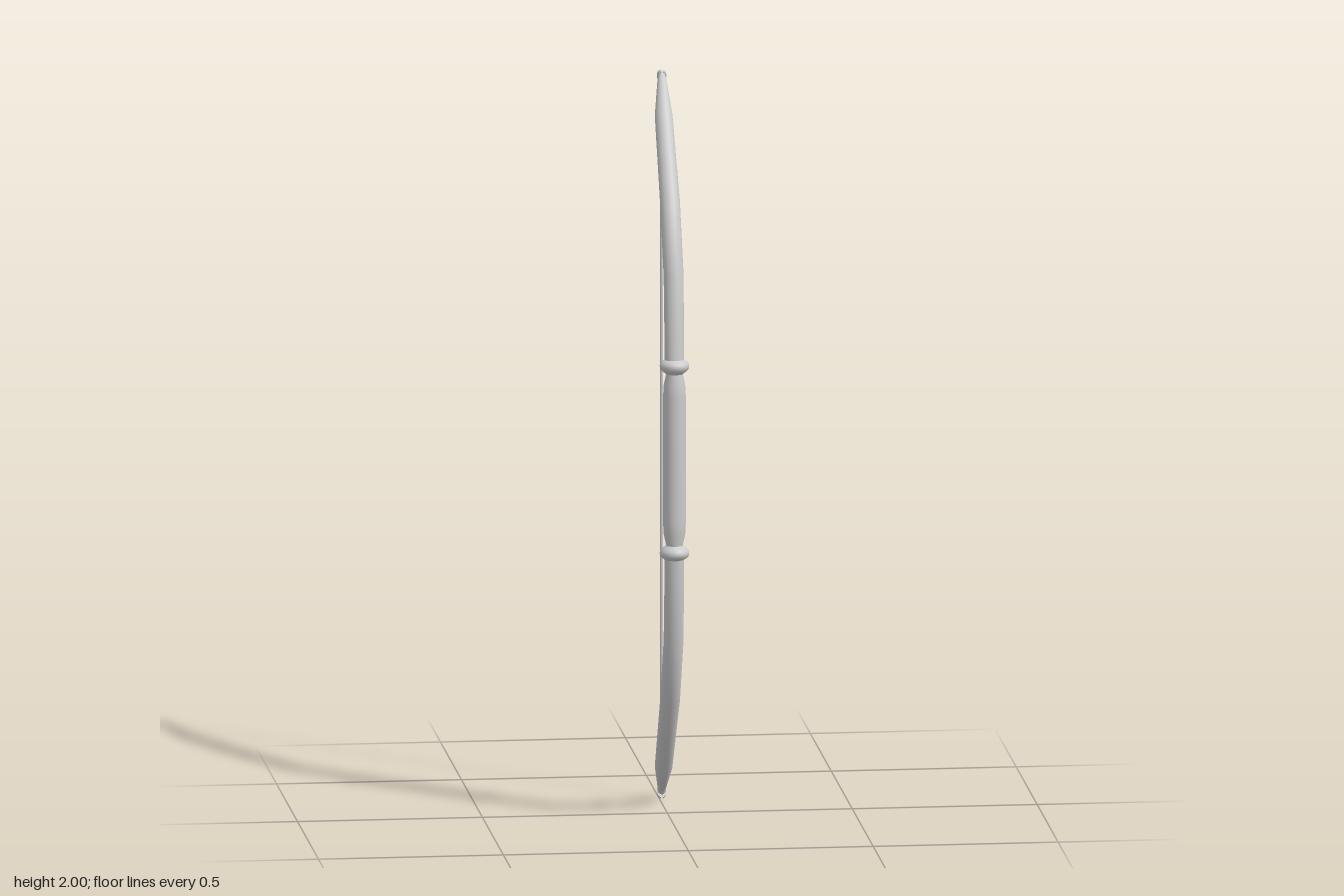
import * as THREE from 'three';

const MID = 1.005;      // height of the grip centre
const GRIP_Z = 0.17;
const TIP_X = 0.007;    // the tips lean slightly to the left

const material = new THREE.MeshStandardMaterial({ color: 0xcccccc, side: THREE.DoubleSide });

function addMesh(parent, name, geometry) {
  const mesh = new THREE.Mesh(geometry, material);
  mesh.name = name;
  parent.add(mesh);
  return mesh;
}

// Limb stations: [height from mid, z, x offset, half width, half thickness]
const STATIONS = [
  [0.24, 0.172, 0, 0.026, 0.023],
  [0.50, 0.150, 0, 0.027, 0.025],
  [0.685, 0.063, 0, 0.027, 0.026],
  [0.893, -0.079, -0.001, 0.024, 0.023],
  [0.970, -0.182, 0.006, 0.012, 0.012],
  [0.977, -0.191, TIP_X, 0.010, 0.011],
  [0.981, -0.197, TIP_X, 0.012, 0.015],
];

// Elliptical sections lofted along the bent limb; s = 1 upper, -1 lower
function limbGeometry(s, sides = 20) {
  const pos = [], index = [];
  const n = STATIONS.length;
  STATIONS.forEach(([h, z, x, rx, rt], i) => {
    const a = STATIONS[Math.max(i - 1, 0)], b = STATIONS[Math.min(i + 1, n - 1)];
    const unit = (p, q) => new THREE.Vector2(q[1] - p[1], q[0] - p[0]).normalize();
    const dir = new THREE.Vector2();
    if (i > 0) dir.add(unit(a, STATIONS[i]));
    if (i < n - 1) dir.add(unit(STATIONS[i], b));
    dir.normalize();
    for (let k = 0; k < sides; k++) {
      const t = (k / sides) * Math.PI * 2;
      const w = Math.sin(t) * rt;
      pos.push(x + Math.cos(t) * rx, MID + s * (h - dir.x * w), z + dir.y * w);
    }
  });
  const tri = (a, b, c) => (s > 0 ? index.push(a, b, c) : index.push(a, c, b));
  for (let i = 0; i < n - 1; i++) {
    for (let k = 0; k < sides; k++) {
      const k2 = (k + 1) % sides;
      const a = i * sides + k, b = i * sides + k2;
      tri(a, a + sides, b);
      tri(b, a + sides, b + sides);
    }
  }
  const g = new THREE.BufferGeometry();
  g.setAttribute('position', new THREE.Float32BufferAttribute(pos, 3));
  g.setIndex(index);
  g.computeVertexNormals();
  return g;
}

// One cheek of the forked nock: an oval cut off beside the string slot
function nockCheek(side) {
  const rx = 0.0125, ry = 0.018, gap = 0.003;
  const t0 = Math.acos(gap / rx);
  const pts = [];
  for (let i = 0; i <= 12; i++) {
    const t = -t0 + (2 * t0 * i) / 12;
    pts.push(new THREE.Vector2(side * rx * Math.cos(t), ry * Math.sin(t)));
  }
  return new THREE.ExtrudeGeometry(new THREE.Shape(pts), { depth: 0.009, bevelEnabled: false });
}

export function createModel() {
  const bow = new THREE.Group();
  bow.name = 'bow';

  // Handle: straight grip necked in towards both collars
  const gripProfile = [
    [0.022, -0.25], [0.023, -0.232], [0.029, -0.205], [0.031, -0.17], [0.031, 0],
    [0.031, 0.17], [0.029, 0.205], [0.023, 0.232], [0.022, 0.25],
  ].map(([r, y]) => new THREE.Vector2(r, y));
  addMesh(bow, 'grip', new THREE.LatheGeometry(gripProfile, 28)).position.set(0, MID, GRIP_Z);

  // Rounded collar profile, shared by both ends of the grip
  const collarProfile = [
    [0.020, -0.024], [0.030, -0.016], [0.038, -0.009], [0.040, 0],
    [0.038, 0.008], [0.031, 0.014], [0.020, 0.019],
  ].map(([r, y]) => new THREE.Vector2(r, y));

  for (const s of [1, -1]) {
    const end = s > 0 ? 'upper' : 'lower';

    const collar = addMesh(bow, end + 'Collar', new THREE.LatheGeometry(collarProfile, 28));
    collar.position.set(0, MID + s * 0.257, GRIP_Z);
    if (s < 0) collar.rotation.x = Math.PI;

    addMesh(bow, end + 'Limb', limbGeometry(s));

    // Forked nock, facing along the end of the limb
    const nock = new THREE.Group();
    nock.name = end + 'Nock';
    addMesh(nock, 'leftCheek', nockCheek(1));
    addMesh(nock, 'rightCheek', nockCheek(-1));
    nock.position.set(TIP_X, 1 + s * 0.981, -0.195);
    nock.rotation.x = Math.atan2(-0.6 * s, -0.8);
    bow.add(nock);
  }

  // String between the two nocks
  const string = addMesh(bow, 'string', new THREE.CylinderGeometry(0.0035, 0.0035, 1.96, 10));
  string.position.set(TIP_X, 1, -0.2);

  return bow;
}
